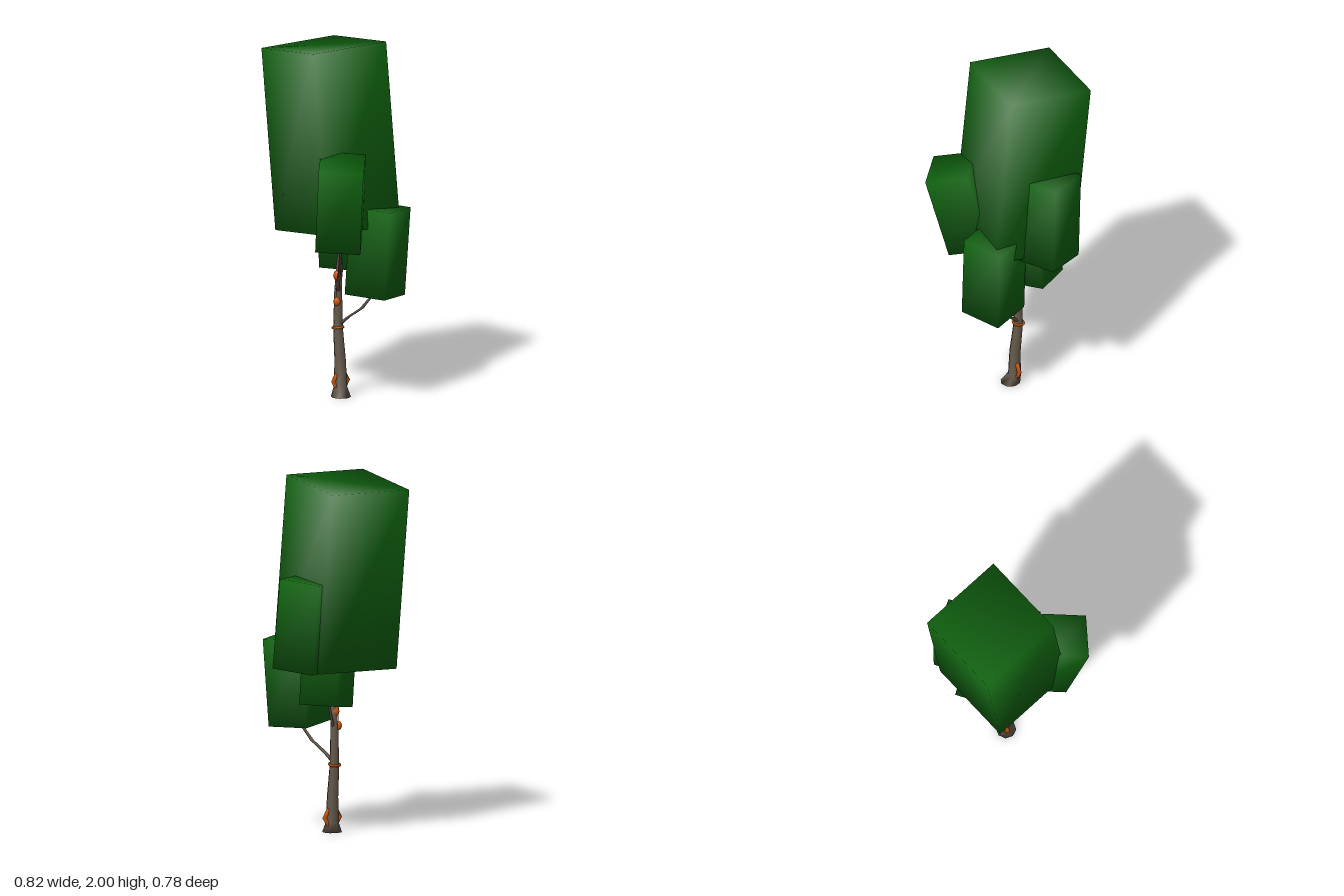
import * as THREE from 'three';
import { mergeVertices } from 'three/addons/utils/BufferGeometryUtils.js';

const material = (name, color) => Object.assign(new THREE.MeshStandardMaterial({ color }), { name });

export function createModel() {
  const leaf = material('leaf green', 0x106410);
  const bark = material('bark brown', 0x64584a);
  const orange = material('orange', 0xcc5a0a);
  const cord = material('dark red cord', 0x7a2015);

  const tree = new THREE.Group();
  tree.name = 'tree';
  const add = (name, geometry, mat, x = 0, y = 0, z = 0) => {
    const mesh = new THREE.Mesh(geometry, mat);
    mesh.name = name;
    mesh.position.set(x, y, z);
    tree.add(mesh);
    return mesh;
  };

  // Leaf block: a tilted box with softly shared corner normals.
  // "side" is its local x edge and "up" its long edge.
  function crown(name, center, side, up) {
    const ex = new THREE.Vector3(...side), ey = new THREE.Vector3(...up);
    const w = ex.length(), h = ey.length();
    ey.normalize();
    ex.addScaledVector(ey, -ex.dot(ey)).normalize();
    const ez = new THREE.Vector3().crossVectors(ex, ey);
    let geo = new THREE.BoxGeometry(w, h, w);
    geo.deleteAttribute('normal');
    geo.deleteAttribute('uv');
    geo = mergeVertices(geo);
    const normals = Array.from(geo.attributes.position.array, v => Math.sign(v) / Math.sqrt(3));
    geo.setAttribute('normal', new THREE.Float32BufferAttribute(normals, 3));
    geo.applyMatrix4(new THREE.Matrix4().makeBasis(ex, ey, ez));
    add(name, geo, leaf, ...center);
  }
  crown('mainCrown', [-0.11, 1.46, 0.037], [0.49, 0.06, 0], [-0.11, 1.01, 0.015]);
  crown('frontCrown', [0.185, 1.15, 0.183], [0.185, -0.07, 0.15], [0.115, 0.48, 0.06]);
  crown('sideCrown', [0.138, 0.837, -0.103], [0.22, -0.01, -0.11], [0.005, 0.49, -0.035]);
  crown('backCrown', [-0.145, 1.187, -0.205], [0.22, 0.02, -0.12], [-0.03, 0.5, 0.03]);
  crown('lowerCrown', [-0.116, 0.945, -0.053], [0.185, -0.01, -0.12], [0.035, 0.44, 0.05]);

  // Wood: level rings [x, y, z, radius] joined into a closed tapering limb.
  function limb(name, rings, sides) {
    const pos = [], index = [];
    for (const [x, y, z, r] of rings) {
      for (let i = 0; i < sides; i++) {
        const a = (i / sides) * Math.PI * 2;
        pos.push(x + r * Math.cos(a), y, z + r * Math.sin(a));
      }
    }
    for (let k = 0; k < rings.length - 1; k++) {
      for (let i = 0; i < sides; i++) {
        const j = (i + 1) % sides, a = k * sides, b = a + sides;
        index.push(a + i, b + i, a + j, a + j, b + i, b + j);
      }
    }
    const top = (rings.length - 1) * sides;
    for (let i = 1; i < sides - 1; i++) {
      index.push(0, i, i + 1, top, top + i + 1, top + i);
    }
    const geo = new THREE.BufferGeometry();
    geo.setAttribute('position', new THREE.Float32BufferAttribute(pos, 3));
    geo.setIndex(index);
    geo.computeVertexNormals();
    add(name, geo, bark);
  }
  limb('trunk', [
    [-0.03, 0, 0.025, 0.056], [-0.05, 0.055, 0.014, 0.037], [-0.053, 0.2, 0.014, 0.032],
    [-0.073, 0.38, 0.014, 0.027], [-0.072, 0.58, 0.014, 0.022], [-0.064, 0.74, 0.012, 0.016],
    [-0.042, 0.87, 0.01, 0.009], [-0.02, 1.0, 0.01, 0.005],
  ], 8);
  limb('sideBranch', [
    [-0.065, 0.4, 0.008, 0.014], [-0.02, 0.445, -0.015, 0.012],
    [0.06, 0.505, -0.05, 0.011], [0.12, 0.59, -0.085, 0.008], [0.14, 0.66, -0.1, 0.005],
  ], 6);
  limb('frontBranch', [
    [-0.065, 0.59, 0.02, 0.011], [-0.02, 0.64, 0.05, 0.009], [0.03, 0.69, 0.08, 0.008],
    [0.09, 0.78, 0.118, 0.007], [0.13, 0.9, 0.138, 0.005],
  ], 6);
  limb('backBranch', [
    [-0.07, 0.58, 0.01, 0.011], [-0.095, 0.65, -0.02, 0.008], [-0.13, 0.75, -0.06, 0.006],
  ], 6);

  // Cords: one along the front branch, one holding the lantern
  const tube = (name, points, r) => add(name, new THREE.TubeGeometry(
    new THREE.CatmullRomCurve3(points.map(p => new THREE.Vector3(...p))), 12, r, 5), cord);
  tube('branchCord', [[0.02, 0.68, 0.083], [0.09, 0.78, 0.126], [0.13, 0.9, 0.145]], 0.003);
  tube('lanternCord', [[0.078, 0.59, 0.13], [0.075, 0.68, 0.13], [0.07, 0.75, 0.112]], 0.0015);

  // Small faceted lanterns
  for (const [name, x, y, z, s] of [
    ['hangingLantern', 0.078, 0.57, 0.13, 0.021],
    ['trunkLantern', -0.068, 0.677, 0.02, 0.025],
  ]) {
    const geo = new THREE.SphereGeometry(s, 6, 4);
    geo.scale(1, 1.3, 1);
    add(name, geo, orange, x, y, z);
  }

  // Rings on the trunk: a level band and an upright six-sided hoop
  const band = add('trunkBand', new THREE.TorusGeometry(0.031, 0.007, 5, 10), orange, -0.074, 0.382, 0.014);
  band.rotation.set(Math.PI / 2, 0.15, 0);
  const hoop = add('baseHoop', new THREE.TorusGeometry(0.05, 0.013, 5, 6), orange, -0.052, 0.085, 0.012);
  hoop.rotation.y = Math.PI / 2;

  return tree;
}
